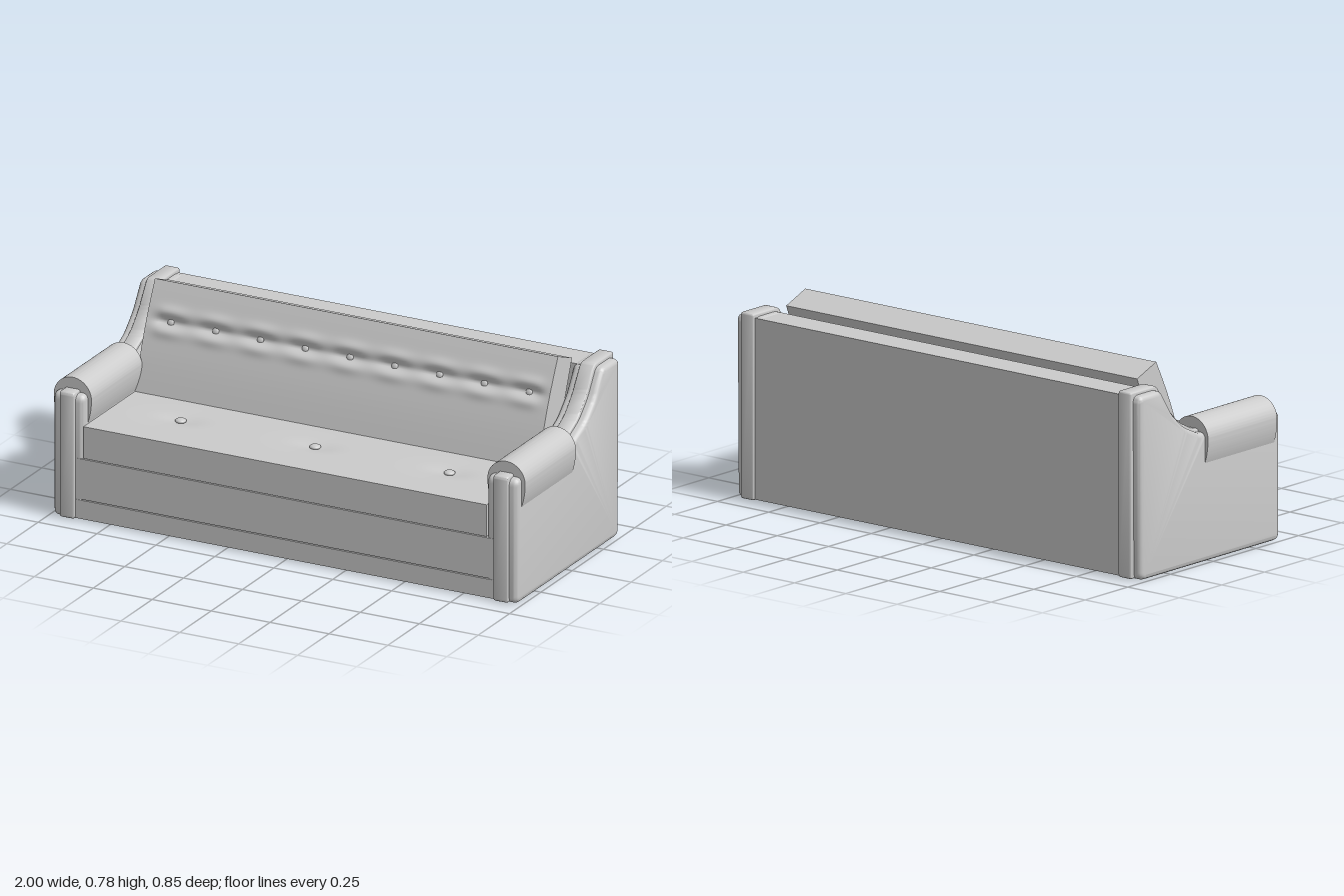
import * as THREE from 'three';
import { toCreasedNormals } from 'three/addons/utils/BufferGeometryUtils.js';

const material = new THREE.MeshStandardMaterial({ color: 0xcccccc });

function add(group, name, geometry, x = 0, y = 0, z = 0) {
  const mesh = new THREE.Mesh(geometry, material);
  mesh.name = name;
  mesh.position.set(x, y, z);
  group.add(mesh);
  return mesh;
}

// Box given by its width and its y and z limits, centred on x
function block(group, name, width, y0, y1, z0, z1) {
  return add(group, name, new THREE.BoxGeometry(width, y1 - y0, z1 - z0), 0, (y0 + y1) / 2, (z0 + z1) / 2);
}

// Closed outline with softened corners; points are [u, v, radius]
function softShape(points) {
  const shape = new THREE.Shape();
  const n = points.length;
  points.forEach(([u, v, r], i) => {
    const p = new THREE.Vector2(u, v);
    const toward = ([a, b]) => new THREE.Vector2(a, b).sub(p).setLength(r).add(p);
    const start = toward(points[(i + n - 1) % n]);
    const end = toward(points[(i + 1) % n]);
    if (i === 0) shape.moveTo(start.x, start.y);
    else shape.lineTo(start.x, start.y);
    shape.quadraticCurveTo(u, v, end.x, end.y);
  });
  shape.closePath();
  return shape;
}

// Side profile (z, y) thickened along x with a rounded rim
function slab(points, width, bevel) {
  const g = new THREE.ExtrudeGeometry(softShape(points), {
    depth: width - 2 * bevel, curveSegments: 6, bevelEnabled: true,
    bevelThickness: bevel, bevelSize: bevel, bevelOffset: -bevel, bevelSegments: 4,
  });
  g.translate(0, 0, -(width - 2 * bevel) / 2);
  g.rotateY(-Math.PI / 2);
  return toCreasedNormals(g, 0.6);
}

// Moves vertices of one flat face of a box along an axis by a rule
function pushFace(g, axis, level, rule) {
  const p = g.attributes.position;
  const v = new THREE.Vector3();
  for (let i = 0; i < p.count; i++) {
    v.fromBufferAttribute(p, i);
    if (Math.abs(v[axis] - level) > 1e-5) continue;
    v[axis] += rule(v);
    p.setXYZ(i, v.x, v.y, v.z);
  }
  g.computeVertexNormals();
  return g;
}

function button(group, name, radius, x, y, z, tilt) {
  const g = new THREE.SphereGeometry(radius, 16, 10);
  g.scale(1, 0.45, 1);
  add(group, name, g, x, y, z).rotation.x = tilt;
}

function createArm(side) {
  const arm = new THREE.Group();
  arm.name = side > 0 ? 'leftArm' : 'rightArm';
  arm.position.x = side * 0.92;
  // Central board that stands proud of the padding
  add(arm, 'armBoard', slab([
    [0.425, 0.005, 0.012], [0.425, 0.511, 0.015], [-0.045, 0.511, 0.02], [-0.14, 0.558, 0.025],
    [-0.205, 0.625, 0.025], [-0.272, 0.727, 0.02], [-0.425, 0.727, 0.012], [-0.425, 0.005, 0.012],
  ], 0.062, 0.008));
  // Padding on both faces of the board
  add(arm, 'armPadding', slab([
    [0.411, 0, 0.03], [0.411, 0.5, 0.03], [-0.05, 0.5, 0.02], [-0.145, 0.545, 0.025],
    [-0.215, 0.61, 0.025], [-0.282, 0.713, 0.02], [-0.411, 0.713, 0.03], [-0.405, 0, 0.03],
  ], 0.13, 0.02));
  // Rolled armrest draped over the top
  const roll = new THREE.Shape();
  roll.moveTo(0.062, -0.1);
  roll.quadraticCurveTo(0.08, -0.05, 0.08, 0);
  roll.absarc(0, 0, 0.08, 0, Math.PI, false);
  roll.quadraticCurveTo(-0.08, -0.05, -0.062, -0.1);
  roll.closePath();
  const g = new THREE.ExtrudeGeometry(roll, { depth: 0.405, bevelEnabled: false, curveSegments: 24 });
  add(arm, 'armRoll', toCreasedNormals(g, 0.6), 0, 0.475, -0.03);
  return arm;
}

export function createModel() {
  const sofa = new THREE.Group();
  sofa.name = 'sofa';

  // Base with a narrow groove across the front
  block(sofa, 'basePlinth', 1.78, 0.008, 0.083, -0.41, 0.412);
  block(sofa, 'baseCore', 1.77, 0.02, 0.24, -0.4, 0.402);
  block(sofa, 'frontRail', 1.78, 0.087, 0.249, -0.41, 0.412);
  block(sofa, 'backPanel', 1.78, 0.008, 0.71, -0.412, -0.285);

  // Seat cushion, dimpled around three buttons
  const seatButtons = [-0.57, 0, 0.57];
  const seat = new THREE.BoxGeometry(1.71, 0.128, 0.6, 120, 1, 40);
  pushFace(seat, 'y', 0.064, (v) => seatButtons.reduce((sum, x) =>
    sum - 0.012 * Math.exp(-(((v.x - x) / 0.08) ** 2) - ((v.z - 0.06) / 0.05) ** 2), 0));
  add(sofa, 'seatCushion', seat, 0, 0.316, 0.11);
  seatButtons.forEach((x) => button(sofa, 'seatButton', 0.022, x, 0.374, 0.17, 0));

  // Leaning back cushion with a tufted line of nine buttons
  const back = new THREE.Group();
  back.name = 'backrest';
  back.position.set(0, 0.548, -0.133);
  back.rotation.x = -0.374;
  sofa.add(back);
  const height = 0.451, tuftY = 0.074, pitch = 0.19;
  const bell = (d, w) => Math.exp(-((d / w) ** 2));
  const bulge = (x, y) => {
    const near = 0.5 + 0.5 * Math.cos((2 * Math.PI * x) / pitch);
    const d = y - tuftY;
    const edge = Math.min(1, (0.855 - Math.abs(x)) / 0.06);
    const tuft = 0.008 * (bell(d - 0.04, 0.02) + bell(d + 0.04, 0.022)) * (0.4 + 0.6 * near)
      - (0.008 + 0.012 * near) * bell(d, 0.018);
    return 0.014 * Math.sin(Math.PI * (0.5 - y / height)) + tuft * edge;
  };
  const cushion = new THREE.BoxGeometry(1.71, height, 0.12, 144, 60, 1);
  // End faces follow the same rule so the cushion stays closed
  add(back, 'backCushion', pushFace(cushion, 'z', 0.06, (v) => bulge(v.x, v.y)));
  for (let i = -4; i <= 4; i++) {
    const x = i * pitch;
    button(back, 'backButton', 0.014, x, tuftY, 0.063 + bulge(x, tuftY), Math.PI / 2);
  }

  sofa.add(createArm(1), createArm(-1));
  return sofa;
}
